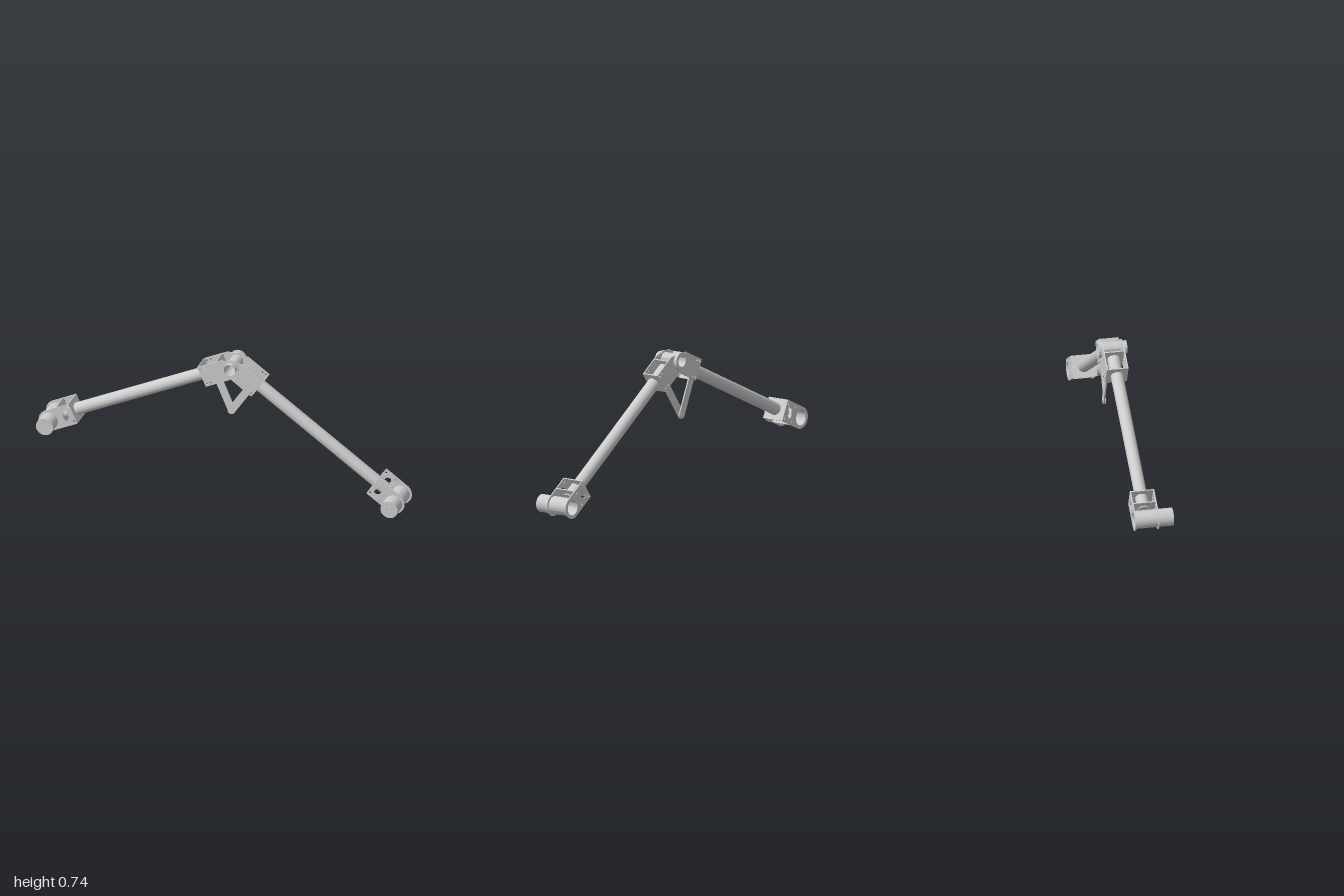
import * as THREE from 'three';
import { toCreasedNormals } from 'three/addons/utils/BufferGeometryUtils.js';

const mat = new THREE.MeshStandardMaterial({ color: 0xcccccc });
const ELBOW = new THREE.Vector2(0.048, 0.696);
const HALF = 0.058; // half height of every bracket
const T = 0.006; // sheet thickness

function add(parent, name, geometry, x = 0, y = 0, z = 0) {
  const mesh = new THREE.Mesh(geometry, mat);
  mesh.name = name;
  mesh.position.set(x, y, z);
  parent.add(mesh);
  return mesh;
}

function hole(shape, x, y, r) {
  const path = new THREE.Path();
  path.absarc(x, y, r, 0, Math.PI * 2, true);
  shape.holes.push(path);
}

function disc(r) {
  const shape = new THREE.Shape();
  shape.absarc(0, 0, r, 0, Math.PI * 2, false);
  return shape;
}

// Shape extruded between two z values
function slab(shape, z0, z1) {
  const g = new THREE.ExtrudeGeometry(shape, { depth: z1 - z0, bevelEnabled: false, curveSegments: 24 });
  g.translate(0, 0, z0);
  return toCreasedNormals(g, 0.6);
}

function ring(outer, inner, z0, z1) {
  const shape = disc(outer);
  hole(shape, 0, 0, inner);
  return slab(shape, z0, z1);
}

function rod(r, z0, z1) {
  const g = new THREE.CylinderGeometry(r, r, z1 - z0, 48);
  g.rotateX(Math.PI / 2);
  g.translate(0, 0, (z0 + z1) / 2);
  return g;
}

// Side plate of the motor bracket: round about the motor, square towards the tube
function motorPlate(bore) {
  const s = new THREE.Shape();
  s.moveTo(0.143, -HALF);
  s.lineTo(0.143, HALF);
  s.lineTo(0, HALF);
  s.absarc(0, 0, HALF, Math.PI / 2, Math.PI * 1.5, false);
  s.lineTo(0.143, -HALF);
  hole(s, 0, 0, bore);
  const window = new THREE.Path();
  [[0.08, -0.012], [0.088, -0.03], [0.108, -0.022], [0.12, 0.012], [0.112, 0.03], [0.092, 0.022]]
    .reverse().forEach(([x, y], i) => (i ? window.lineTo(x, y) : window.moveTo(x, y)));
  window.closePath();
  s.holes.push(window);
  for (const y of [-0.04, 0.04]) {
    hole(s, 0.066, y, 0.005);
    hole(s, 0.13, y, 0.005);
  }
  return s;
}

// Side plate of the elbow bracket: tapers to a round eye on the hinge
function elbowPlate() {
  const s = new THREE.Shape();
  s.moveTo(0.176, -HALF);
  s.lineTo(0.176, HALF);
  s.lineTo(0.034, HALF);
  s.absarc(0, 0, 0.043, 1.45, Math.PI * 2 - 1.45, false);
  s.lineTo(0.034, -HALF);
  s.lineTo(0.176, -HALF);
  hole(s, 0, 0, 0.031);
  for (const x of [0.14, 0.162]) for (const y of [-0.043, 0.043]) hole(s, x, y, 0.005);
  return s;
}

// Two cross walls between a pair of side plates
function crossWalls(parent, near, far, width) {
  for (const x of [near, far]) {
    add(parent, 'crossWall', new THREE.BoxGeometry(T, HALF * 2, width), x, 0, 0);
  }
}

function motorEnd() {
  const g = new THREE.Group();
  g.name = 'motorBracket';
  add(g, 'frontPlate', slab(motorPlate(0.046), 0.058, 0.064));
  add(g, 'backPlate', slab(motorPlate(0.04), -0.064, -0.058));
  crossWalls(g, 0.064, 0.14, 0.118);
  add(g, 'motorSleeve', ring(0.047, 0.04, -0.06, 0.06));
  add(g, 'motorBody', rod(0.047, 0.058, 0.135));
  // Drilled face of the motor
  const face = disc(0.047);
  hole(face, 0, 0, 0.009);
  for (let i = 0; i < 4; i++) {
    const a = Math.PI / 4 + i * Math.PI / 2;
    hole(face, Math.cos(a) * 0.03, Math.sin(a) * 0.03, 0.004);
  }
  add(g, 'motorFace', slab(face, 0.135, 0.142));
  return g;
}

// One arm, running along its own +x from the elbow to the motor
function arm(name, end, z, elbowHalfWidth) {
  const g = new THREE.Group();
  g.name = name;
  const d = end.clone().sub(ELBOW);
  const length = d.length();
  g.position.set(ELBOW.x, ELBOW.y, z);
  g.rotation.z = d.angle();

  const tube = new THREE.CylinderGeometry(0.033, 0.033, length - 0.11, 48);
  tube.rotateZ(Math.PI / 2);
  add(g, 'armTube', tube, length / 2);

  const w = elbowHalfWidth;
  const bracket = new THREE.Group();
  bracket.name = 'elbowBracket';
  add(bracket, 'frontPlate', slab(elbowPlate(), w - T, w));
  add(bracket, 'backPlate', slab(elbowPlate(), -w, T - w));
  crossWalls(bracket, 0.065, 0.173, 2 * (w - T) + 0.002);
  g.add(bracket);

  const motor = motorEnd();
  motor.position.x = length;
  motor.rotation.z = Math.PI;
  g.add(motor);
  return g;
}

// Flat link with rounded ends between two points
function strut(name, a, b, z0, z1) {
  const d = b.clone().sub(a);
  const len = d.length();
  const r = 0.021;
  const s = new THREE.Shape();
  s.absarc(0, 0, r, Math.PI / 2, Math.PI * 1.5, false);
  s.absarc(len, 0, r, -Math.PI / 2, Math.PI / 2, false);
  s.closePath();
  hole(s, 0, 0, 0.006);
  hole(s, len, 0, 0.006);
  const mesh = new THREE.Mesh(slab(s, z0, z1), mat);
  mesh.name = name;
  mesh.position.set(a.x, a.y, 0);
  mesh.rotation.z = d.angle();
  return mesh;
}

export function createModel() {
  const model = new THREE.Group();
  model.name = 'foldingArm';
  model.add(arm('rightArm', new THREE.Vector2(-0.942, 0.24), -0.034, 0.057));
  model.add(arm('leftArm', new THREE.Vector2(0.941, 0.059), -0.037, 0.049));

  // Hollow hinge through the elbow
  const hinge = new THREE.Group();
  hinge.name = 'elbowHinge';
  hinge.position.set(ELBOW.x, ELBOW.y, 0);
  add(hinge, 'hingeTube', ring(0.034, 0.03, -0.106, 0.045));
  add(hinge, 'backFlange', ring(0.047, 0.03, -0.108, -0.092));
  model.add(hinge);

  // Links below the elbow, joined by a pin
  const pivot = new THREE.Vector2(0.019, 0.405);
  model.add(strut('rightStrut', new THREE.Vector2(-0.063, 0.595), pivot, -0.085, -0.078));
  model.add(strut('leftStrut', new THREE.Vector2(0.147, 0.592), pivot, -0.078, -0.071));
  add(model, 'strutPin', rod(0.009, -0.088, -0.068), pivot.x, pivot.y, 0);
  return model;
}
